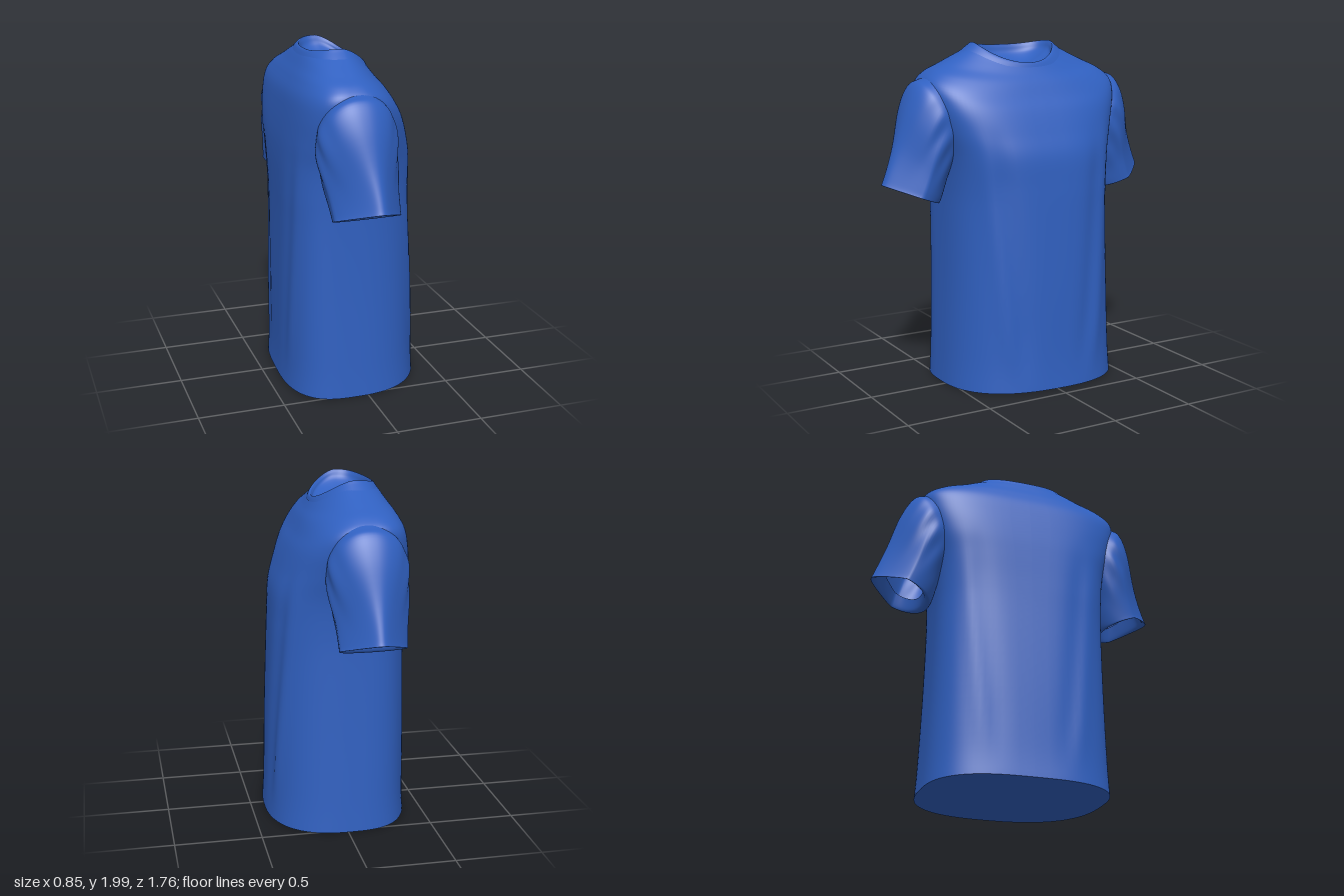
import * as THREE from 'three';

const SIDES = 96;
const { smoothstep } = THREE.MathUtils;

// Catmull-Rom blend of the numbers in neighbouring rows
function sampleRows(rows, steps) {
  const out = [], last = rows.length - 1;
  for (let s = 0; s <= last * steps; s++) {
    const i = Math.min(Math.floor(s / steps), last - 1), f = s / steps - i;
    const p0 = rows[Math.max(i - 1, 0)], p1 = rows[i], p2 = rows[i + 1], p3 = rows[Math.min(i + 2, last)];
    out.push(p1.map((b, k) => {
      const a = p0[k], c = p2[k], d = p3[k];
      return 0.5 * (2 * b + (c - a) * f + (2 * a - 5 * b + 4 * c - d) * f * f + (3 * b - a - 3 * c + d) * f * f * f);
    }));
  }
  return out;
}

// Skin over closed rings; point(row, t) gives a Vector3 at angle t
function loft(rows, point, flip = false) {
  const pos = [], idx = [];
  rows.forEach((row, i) => {
    for (let j = 0; j < SIDES; j++) {
      pos.push(...point(row, (j / SIDES) * Math.PI * 2).toArray());
      if (i === rows.length - 1) continue;
      const a = i * SIDES + j, b = i * SIDES + (j + 1) % SIDES, c = a + SIDES, d = b + SIDES;
      if (flip) idx.push(a, b, c, b, d, c);
      else idx.push(a, c, b, b, c, d);
    }
  });
  const g = new THREE.BufferGeometry();
  g.setAttribute('position', new THREE.Float32BufferAttribute(pos, 3));
  g.setIndex(idx);
  g.computeVertexNormals();
  return g;
}

const power = (v, p) => Math.sign(v) * Math.pow(Math.abs(v), p);
const bump = (v, width) => Math.exp(-(v * v) / (width * width));

// Torso ring: chest x, back x, half width, y at chest, side and back, roundness, middle x
function torsoPoint([xf, xb, w, yf, ys, yb, n, xm], t) {
  const c = Math.cos(t), s = Math.sin(t), front = c > 0;
  const e = 2 / (front ? n : n + 0.5);
  let x = xm + (front ? xf - xm : xm - xb) * power(c, e);
  const y = ys + ((front ? yf : yb) - ys) * Math.pow(Math.abs(c), front ? 1.5 : 2);
  const z = w * power(s, e) + 0.025 * smoothstep(y, 1.75, 1.97);
  // The body hangs slightly turned below the chest
  x -= 0.05 * z * (1 - smoothstep(y, 1.1, 1.6));
  // Soft drape folds falling from the underarms
  if (y < 1.6) {
    const fade = smoothstep(y, 0.02, 0.4) * (1 - smoothstep(y, 1.2, 1.6));
    const lean = 0.33 + 0.1 * (y - 0.7);
    const fold = bump(Math.abs(z) - lean, 0.04) - bump(Math.abs(z) - lean + 0.09, 0.05);
    x += (front ? 0.012 : -0.006) * fold * fade * Math.abs(c);
  }
  return new THREE.Vector3(x, y, z);
}

const TORSO = [
  [0.42, -0.42, 0.53, 0.012, 0.008, 0.02, 2.5, -0.04],
  [0.41, -0.41, 0.52, 0.2, 0.2, 0.2, 2.5, -0.05],
  [0.40, -0.405, 0.505, 0.6, 0.6, 0.6, 2.6, -0.07],
  [0.385, -0.40, 0.498, 1.0, 1.0, 1.0, 2.7, -0.09],
  [0.375, -0.40, 0.502, 1.2, 1.2, 1.2, 2.8, -0.1],
  [0.36, -0.40, 0.52, 1.37, 1.37, 1.37, 2.9, -0.1],
  [0.318, -0.395, 0.56, 1.5, 1.52, 1.5, 3.0, -0.1],
  [0.27, -0.38, 0.6, 1.62, 1.67, 1.64, 3.0, -0.1],
  [0.225, -0.36, 0.61, 1.7, 1.775, 1.75, 2.8, -0.1],
  [0.185, -0.325, 0.555, 1.775, 1.838, 1.83, 2.5, -0.1],
  [0.15, -0.29, 0.46, 1.825, 1.885, 1.89, 2.2, -0.09],
  [0.127, -0.26, 0.36, 1.86, 1.932, 1.94, 2.1, -0.08],
  [0.115, -0.24, 0.275, 1.88, 1.975, 1.965, 2.0, -0.07],
];

// Neckband rolling over the neck edge into a shallow dished lining
const COLLAR = [
  [0.13, -0.26, 0.335, 1.86, 1.94, 1.94, 2.0, -0.08],
  [0.12, -0.244, 0.278, 1.883, 1.983, 1.968, 2.0, -0.08],
  [0.108, -0.23, 0.255, 1.886, 2.0, 1.975, 2.0, -0.08],
  [0.1, -0.222, 0.245, 1.875, 1.985, 1.96, 2.0, -0.08],
  [0.085, -0.205, 0.22, 1.862, 1.94, 1.92, 2.0, -0.07],
  [0.02, -0.14, 0.12, 1.855, 1.88, 1.875, 2.0, -0.07],
  [-0.07, -0.07, 0, 1.86, 1.86, 1.86, 2.0, -0.07],
];

// Sleeve ring, cuff to shoulder: outer z, outer y, inner z, inner y, back x, chest x
const SLEEVE = [
  [0.81, 1.3, 0.575, 1.17, -0.25, 0.065],
  [0.85, 1.23, 0.565, 1.108, -0.27, 0.085],
  [0.88, 1.218, 0.54, 1.09, -0.28, 0.095],
  [0.866, 1.255, 0.525, 1.105, -0.283, 0.097],
  [0.8, 1.43, 0.51, 1.15, -0.295, 0.105],
  [0.73, 1.645, 0.495, 1.21, -0.312, 0.125],
  [0.665, 1.77, 0.475, 1.27, -0.32, 0.135],
  [0.6, 1.804, 0.455, 1.32, -0.31, 0.13],
  [0.48, 1.845, 0.43, 1.37, -0.27, 0.09],
];

function sleevePoint(side) {
  return ([zo, yo, zi, yi, xb, xf], t) => {
    const c = Math.cos(t), s = Math.sin(t), k = (1 + s) / 2;
    const low = 1 - smoothstep(yo, 1.25, 1.8);
    // The cuff narrows toward the outer edge of the arm
    const width = power(c, 0.9) * (1 - 0.6 * low * Math.max(s, 0));
    const crease = 0.006 * Math.sin(k * 26 + yo * 9) * bump(zo - 0.7, 0.08) * c * c;
    // The outer edges of the two arms hang slightly differently
    const swing = (0.015 + 0.025 * side) * low * k;
    const x = (xb + xf) / 2 + ((xf - xb) / 2 + crease) * width + swing;
    return new THREE.Vector3(x, yi + (yo - yi) * k, side * (zi + (zo - zi) * k));
  };
}

export function createModel() {
  const shirt = new THREE.Group();
  shirt.name = 'tShirt';
  const cloth = new THREE.MeshStandardMaterial({ color: 0x3060c0, side: THREE.DoubleSide });
  cloth.name = 'blue cloth';
  const add = (name, geometry) => {
    const mesh = new THREE.Mesh(geometry, cloth);
    mesh.name = name;
    shirt.add(mesh);
  };

  add('torso', loft(sampleRows(TORSO, 6), torsoPoint));
  add('collar', loft(sampleRows(COLLAR, 5), torsoPoint));

  // Closed underside at the hem
  const hem = TORSO[0];
  const middle = [hem[7], hem[7], 0, 0.03, 0.03, 0.03, hem[6], hem[7]];
  add('hemBase', loft([middle, hem], torsoPoint));

  for (const side of [1, -1]) {
    add(side > 0 ? 'leftSleeve' : 'rightSleeve', loft(sampleRows(SLEEVE, 6), sleevePoint(side), side < 0));
  }
  return shirt;
}
